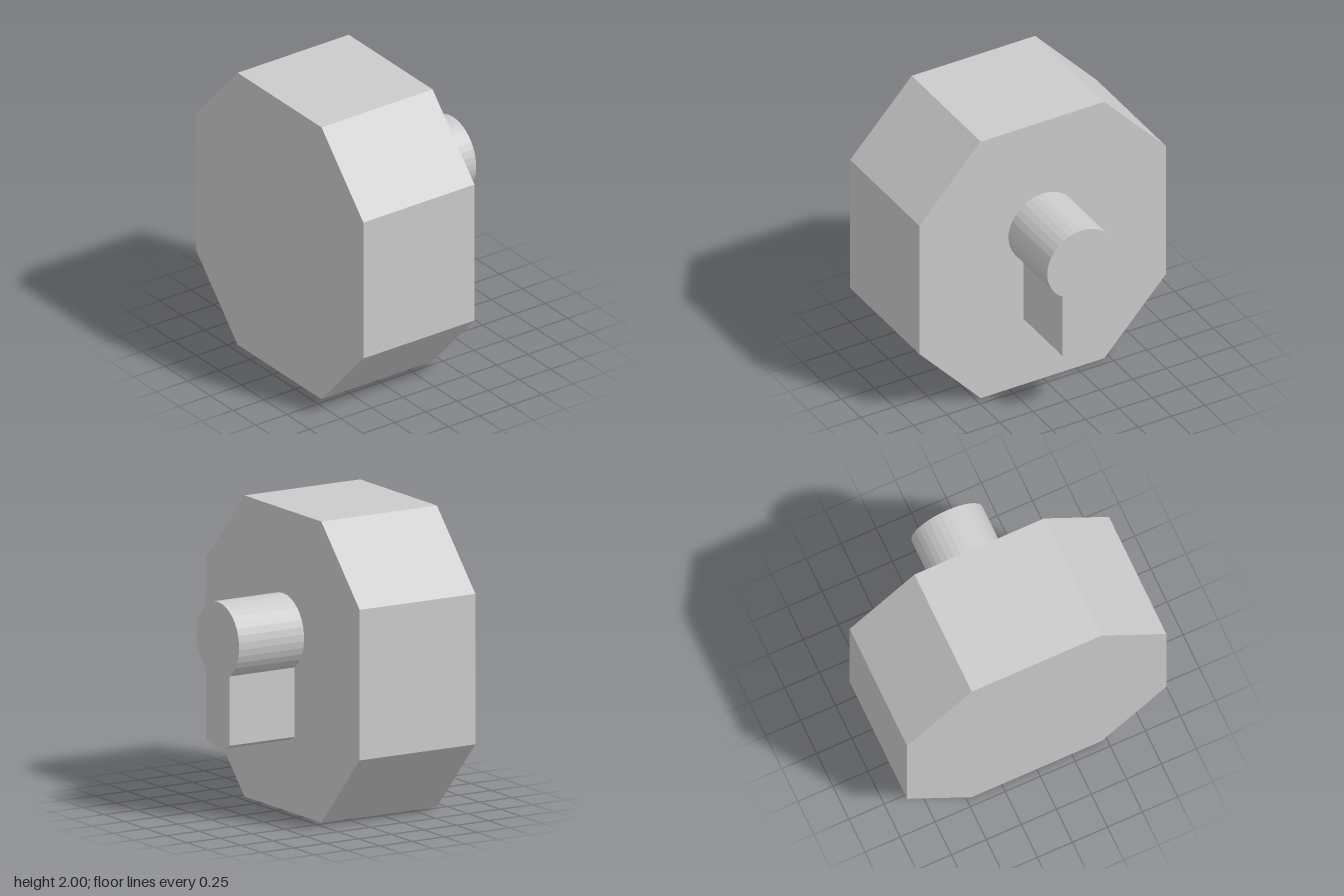
import * as THREE from 'three';

const BACK = -0.695, STEP = -0.195, FRONT = 0.695;

// Extrude a shape in the xy plane between two z positions
function slab(name, shape, z0, z1, material) {
  const geometry = new THREE.ExtrudeGeometry(shape, {
    depth: z1 - z0, bevelEnabled: false, curveSegments: 14,
  });
  geometry.translate(0, 0, z0);
  const mesh = new THREE.Mesh(geometry, material);
  mesh.name = name;
  return mesh;
}

export function createModel() {
  const group = new THREE.Group();
  group.name = 'octagonalKnob';
  const material = new THREE.MeshStandardMaterial({ color: 0xcccccc, flatShading: true });

  // Octagonal body
  const w = 0.925, c = 0.463;
  const octagon = new THREE.Shape([
    [c, 0], [w, 0.5], [w, 1.5], [c, 2], [-c, 2], [-w, 1.5], [-w, 0.5], [-c, 0],
  ].map(([x, y]) => new THREE.Vector2(x, y)));
  group.add(slab('body', octagon, STEP, FRONT, material));

  // Keyhole-shaped plug: round head, straight stem, shallow rounded foot
  const headR = 0.256, headY = 1.184, footR = 0.256, footY = 0.723, half = 0.142;
  const headA = Math.acos(half / headR), footA = Math.acos(half / footR);
  const plug = new THREE.Shape();
  plug.absarc(0, headY, headR, -headA, Math.PI + headA, false);
  plug.absarc(0, footY, footR, Math.PI + footA, 2 * Math.PI - footA, false);
  plug.closePath();
  group.add(slab('lockPlug', plug, BACK, STEP, material));

  return group;
}
